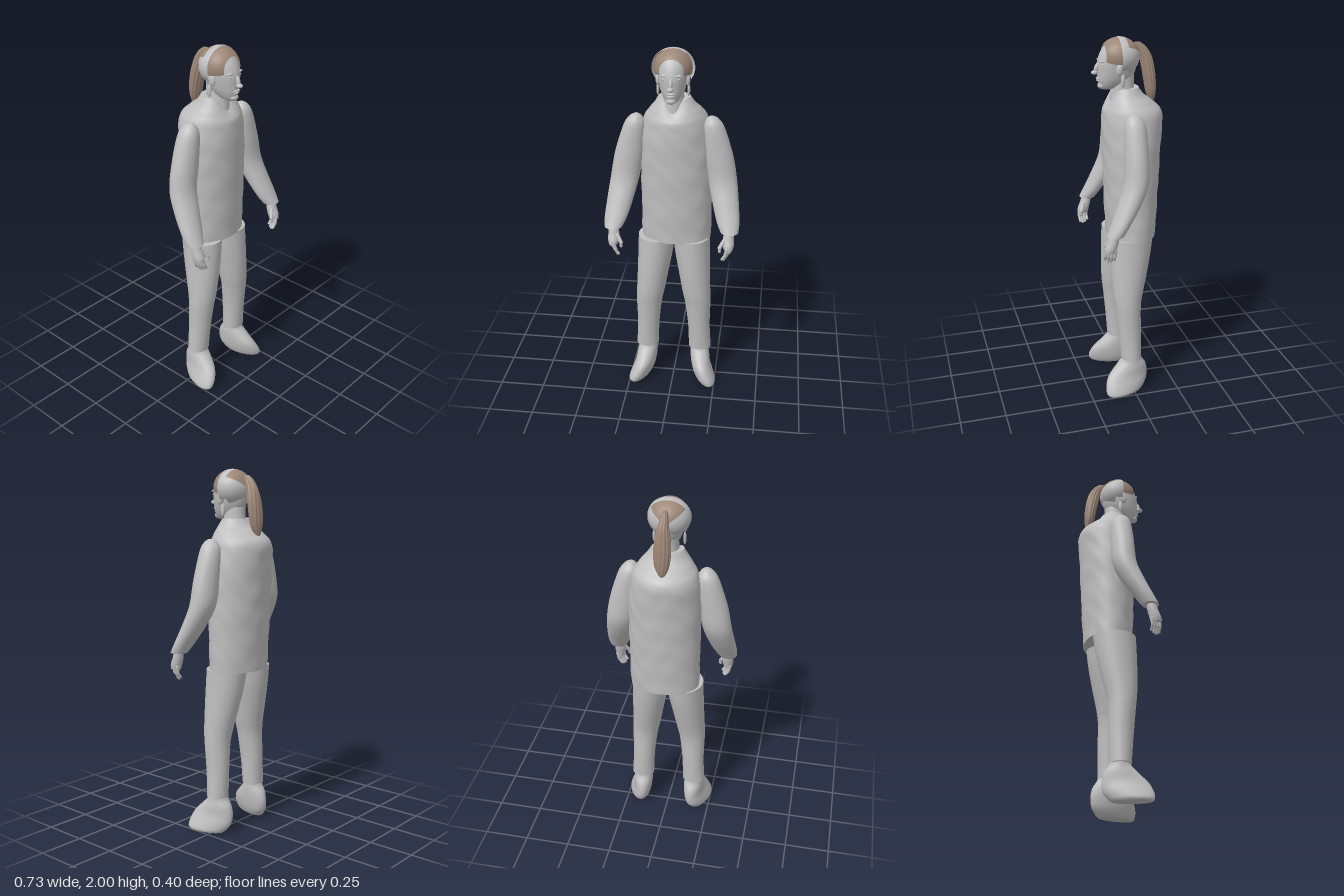
import * as THREE from 'three';

const grey = new THREE.MeshStandardMaterial({ color: 0xbfbfbf, side: THREE.DoubleSide });
grey.name = 'plainGrey';
const brown = new THREE.MeshStandardMaterial({ color: 0x9c8677, side: THREE.DoubleSide });
brown.name = 'hairBrown';

// Smooth curve through the values of neighbouring rings
function spline(a, b, c, d, t) {
  const m0 = (c - a) / 2, m1 = (d - b) / 2, t2 = t * t, t3 = t2 * t;
  return (2 * t3 - 3 * t2 + 1) * b + (t3 - 2 * t2 + t) * m0 + (3 * t2 - 2 * t3) * c + (t3 - t2) * m1;
}

// Closed skin over rings [y, xMin, xMax, zMin, zMax], listed from top to bottom.
// side mirrors in x; warp(point, angle, ring progress) may move each vertex.
function loft(name, material, rings, { side = 1, segments = 32, steps = 5, warp } = {}) {
  const pos = [], index = [], rows = [], n = rings.length - 1;
  const at = (i) => rings[Math.max(0, Math.min(n, i))];
  for (let i = 0; i <= n * steps; i++) {
    const k = Math.min(n - 1, Math.floor(i / steps)), t = i / steps - k;
    rows.push(at(k).map((_, c) => spline(at(k - 1)[c], at(k)[c], at(k + 1)[c], at(k + 2)[c], t)));
  }
  rows.forEach(([y, x0, x1, z0, z1], i) => {
    for (let j = 0; j < segments; j++) {
      const a = (j / segments) * Math.PI * 2;
      const p = new THREE.Vector3(
        side * (x0 + x1) / 2 + (x1 - x0) / 2 * Math.sin(a), y, (z0 + z1) / 2 + (z1 - z0) / 2 * Math.cos(a));
      if (warp) warp(p, a, i / (rows.length - 1));
      pos.push(p.x, p.y, p.z);
    }
  });
  for (let i = 0; i < rows.length - 1; i++) {
    for (let j = 0; j < segments; j++) {
      const a = i * segments + j, b = i * segments + (j + 1) % segments;
      index.push(a, a + segments, b + segments, a, b + segments, b);
    }
  }
  // End caps with their own vertices, so the rims stay sharp
  for (const [row, flip] of [[0, false], [rows.length - 1, true]]) {
    const start = pos.length / 3, c = [0, 0, 0];
    for (let j = 0; j < segments; j++) {
      const o = (row * segments + j) * 3;
      for (let k = 0; k < 3; k++) { c[k] += pos[o + k] / segments; }
      pos.push(pos[o], pos[o + 1], pos[o + 2]);
    }
    pos.push(...c);
    for (let j = 0; j < segments; j++) {
      const a = start + j, b = start + (j + 1) % segments;
      index.push(start + segments, flip ? b : a, flip ? a : b);
    }
  }
  const geo = new THREE.BufferGeometry();
  geo.setAttribute('position', new THREE.Float32BufferAttribute(pos, 3));
  geo.setIndex(index);
  geo.computeVertexNormals();
  const mesh = new THREE.Mesh(geo, material);
  mesh.name = name;
  return mesh;
}

function blob(name, material, [x, y, z], [rx, ry, rz], tilt = 0) {
  const mesh = new THREE.Mesh(new THREE.SphereGeometry(1, 16, 12), material);
  mesh.name = name;
  mesh.position.set(x, y, z);
  mesh.scale.set(rx, ry, rz);
  mesh.rotation.x = tilt;
  return mesh;
}

// Tapered rounded finger between two points
function finger(name, from, to, radius) {
  const a = new THREE.Vector3(...from), b = new THREE.Vector3(...to), d = b.clone().sub(a);
  const mesh = new THREE.Mesh(new THREE.CapsuleGeometry(radius, d.length(), 4, 10), grey);
  mesh.name = name;
  mesh.position.copy(a).add(b).multiplyScalar(0.5);
  mesh.quaternion.setFromUnitVectors(new THREE.Vector3(0, 1, 0), d.normalize());
  return mesh;
}

// Slice of the hair shell: z range along the head, arc centred on the crown
function hairShell(name, material, zFrom, zTo, arcFrom, arcTo, radii) {
  const cz = 0.03, theta = (z) => Math.acos(THREE.MathUtils.clamp((z - cz) / radii[2], -1, 1));
  const t0 = theta(zFrom), top = Math.PI * 1.5;
  const geo = new THREE.SphereGeometry(1, 32, 14, top + arcFrom, arcTo - arcFrom, t0, theta(zTo) - t0);
  geo.rotateX(Math.PI / 2);
  geo.scale(...radii);
  const mesh = new THREE.Mesh(geo, material);
  mesh.name = name;
  mesh.position.set(0, 1.9, cz);
  return mesh;
}

function createHead() {
  const head = new THREE.Group();
  head.name = 'head';
  head.add(loft('neck', grey, [
    [1.80, -0.05, 0.05, -0.05, 0.07], [1.74, -0.055, 0.055, -0.05, 0.075], [1.64, -0.065, 0.065, -0.06, 0.085]]));
  head.add(loft('skull', grey, [
    [1.998, -0.015, 0.015, 0.02, 0.05], [1.985, -0.05, 0.05, -0.025, 0.08], [1.96, -0.072, 0.072, -0.055, 0.106],
    [1.92, -0.08, 0.08, -0.068, 0.132], [1.87, -0.078, 0.078, -0.066, 0.147], [1.82, -0.07, 0.07, -0.055, 0.146],
    [1.78, -0.057, 0.057, -0.03, 0.144], [1.745, -0.035, 0.035, 0.02, 0.135], [1.732, -0.015, 0.015, 0.07, 0.12]]));
  // Face
  head.add(blob('noseBridge', grey, [0, 1.845, 0.15], [0.011, 0.032, 0.014], -0.35));
  head.add(blob('noseTip', grey, [0, 1.822, 0.161], [0.016, 0.012, 0.02]));
  head.add(blob('upperLip', grey, [0, 1.792, 0.143], [0.023, 0.006, 0.011]));
  head.add(blob('lowerLip', grey, [0, 1.781, 0.142], [0.019, 0.006, 0.011]));
  head.add(blob('chin', grey, [0, 1.752, 0.125], [0.026, 0.018, 0.022]));
  for (const s of [-1, 1]) {
    head.add(blob('brow', grey, [s * 0.032, 1.884, 0.128], [0.024, 0.007, 0.012]));
    head.add(blob('eye', grey, [s * 0.032, 1.866, 0.128], [0.015, 0.007, 0.009]));
    head.add(blob('ear', grey, [s * 0.077, 1.845, 0.045], [0.013, 0.034, 0.02], -0.2));
    head.add(blob('looseLock', grey, [s * 0.08, 1.785, 0.03], [0.008, 0.035, 0.012]));
  }
  // Hair: front cap, band, and back shell with a brown crown
  const inner = [0.1, 0.1, 0.105], outer = [0.112, 0.101, 0.107], P = Math.PI;
  head.add(hairShell('frontHair', brown, 0.112, 0.035, -1.85, 1.85, inner));
  head.add(hairShell('hairBand', grey, 0.04, 0.0, -2.2, 2.2, outer));
  head.add(hairShell('crownHair', brown, 0.0, -0.09, -0.95, 0.95, outer));
  head.add(hairShell('backHair', grey, 0.0, -0.09, 0.95, 2 * P - 0.95, outer));
  // Ponytail with strand grooves
  head.add(loft('ponytail', brown, [
    [1.968, -0.010, 0.014, -0.085, -0.045], [1.945, -0.016, 0.020, -0.114, -0.055], [1.9, -0.024, 0.032, -0.142, -0.078],
    [1.84, -0.036, 0.044, -0.158, -0.092], [1.77, -0.040, 0.048, -0.167, -0.105], [1.70, -0.032, 0.040, -0.168, -0.118],
    [1.645, -0.008, 0.014, -0.160, -0.140]], {
    segments: 60,
    warp: (p, a, t) => {
      const groove = 0.0025 * Math.cos(a * 12 + t * 3) * Math.sin(Math.PI * t);
      p.x += groove * Math.sin(a);
      p.z += groove * Math.cos(a);
    },
  }));
  return head;
}

function createArm(side) {
  const arm = new THREE.Group();
  arm.name = side > 0 ? 'leftArm' : 'rightArm';
  arm.add(loft('sleeve', grey, [
    [1.638, 0.19, 0.21, -0.005, 0.02], [1.62, 0.168, 0.238, -0.03, 0.042], [1.57, 0.15, 0.27, -0.055, 0.06],
    [1.42, 0.16, 0.318, -0.06, 0.068], [1.29, 0.185, 0.342, -0.054, 0.076], [1.18, 0.212, 0.357, -0.005, 0.115],
    [1.08, 0.243, 0.367, 0.06, 0.158], [1.03, 0.268, 0.364, 0.093, 0.182]], { side }));
  // Hand
  arm.add(loft('palm', grey, [
    [1.04, 0.29, 0.34, 0.115, 0.165], [1.0, 0.283, 0.343, 0.12, 0.178], [0.96, 0.283, 0.343, 0.13, 0.194],
    [0.935, 0.293, 0.337, 0.135, 0.195]], { side, segments: 20 }));
  for (let i = 0; i < 4; i++) {
    const z = 0.142 + i * 0.015, drop = [0.012, 0.002, 0, 0.01][i], x = 0.328 - i * 0.007;
    arm.add(finger('finger', [side * x, 0.95, z], [side * (x - 0.008), 0.912, z + 0.002], 0.0095));
    arm.add(finger('fingertip', [side * (x - 0.008), 0.912, z + 0.002], [side * (x - 0.024), 0.879 + drop, z], 0.008));
  }
  arm.add(finger('thumb', [side * 0.292, 0.995, 0.165], [side * 0.268, 0.955, 0.184], 0.011));
  arm.add(finger('thumbTip', [side * 0.268, 0.955, 0.184], [side * 0.268, 0.935, 0.186], 0.0085));
  return arm;
}

function createLeg(side) {
  const leg = new THREE.Group();
  leg.name = side > 0 ? 'leftLeg' : 'rightLeg';
  leg.add(loft('trouserLeg', grey, [
    [0.925, -0.005, 0.2, -0.13, 0.105], [0.82, 0.008, 0.203, -0.115, 0.107], [0.7, 0.03, 0.207, -0.09, 0.106],
    [0.58, 0.052, 0.212, -0.062, 0.1], [0.5, 0.068, 0.214, -0.052, 0.09], [0.35, 0.085, 0.212, -0.053, 0.075],
    [0.2, 0.09, 0.22, -0.05, 0.062]], { side }));
  // Rounded shoe with the toe turned out
  leg.add(loft('shoe', grey, [
    [0.225, 0.105, 0.205, -0.045, 0.05], [0.19, 0.103, 0.207, -0.055, 0.062], [0.15, 0.103, 0.215, -0.08, 0.1],
    [0.1, 0.108, 0.222, -0.09, 0.146], [0.05, 0.118, 0.238, -0.083, 0.165], [0.015, 0.132, 0.246, -0.06, 0.165],
    [0, 0.145, 0.24, -0.045, 0.155]], {
    side,
    warp: (p) => { p.x += side * 0.25 * (p.z - 0.04) * (1 - p.y / 0.225); },
  }));
  return leg;
}

export function createModel() {
  const model = new THREE.Group();
  model.name = 'standingFigure';
  // Jacket with soft creases and a V-shaped neckline
  model.add(loft('jacket', grey, [
    [1.74, -0.082, 0.088, -0.072, 0.07], [1.70, -0.105, 0.115, -0.1, 0.092], [1.66, -0.135, 0.15, -0.15, 0.108],
    [1.6, -0.168, 0.182, -0.198, 0.122], [1.45, -0.185, 0.203, -0.19, 0.124], [1.2, -0.182, 0.206, -0.176, 0.116],
    [0.92, -0.18, 0.205, -0.16, 0.106]], {
    segments: 48,
    steps: 8,
    warp: (p, a) => {
      const crease = 0.0025 * Math.sin(p.y * 38 + 2 * Math.sin(a * 3)) * Math.sin(a * 5 + p.y * 9);
      if (p.y < 1.6) { p.x += crease * Math.sin(a); p.z += crease * Math.cos(a); }
      const front = Math.max(0, Math.cos(a));
      p.y -= 0.055 * front ** 6 * THREE.MathUtils.smoothstep(p.y, 1.6, 1.74);
    },
  }));
  model.add(createHead());
  for (const side of [-1, 1]) model.add(createArm(side), createLeg(side));
  return model;
}
